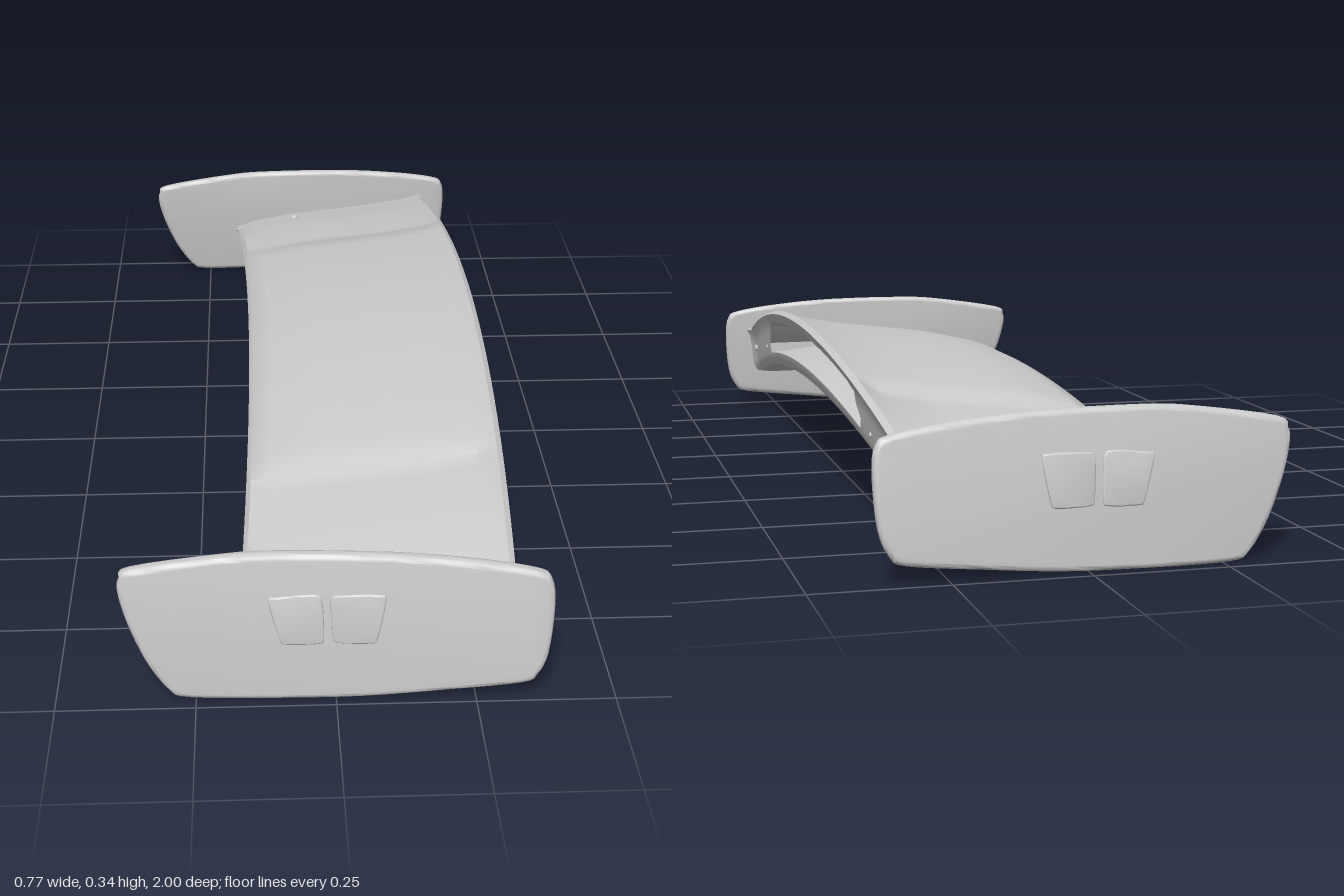
import * as THREE from 'three';
import { toCreasedNormals } from 'three/addons/utils/BufferGeometryUtils.js';

const material = new THREE.MeshStandardMaterial({ color: 0xcccccc, side: THREE.DoubleSide });

function addMesh(parent, name, geometry) {
  const mesh = new THREE.Mesh(geometry, material);
  mesh.name = name;
  parent.add(mesh);
  return mesh;
}

// Blade section (x, y) at mid-span, from the leading edge along the underside and back over the top.
const section = [
  [-0.13, 0.222], [0, 0.207], [0.15, 0.2], [0.28, 0.198], [0.315, 0.203], [0.325, 0.22],
  [0.328, 0.235], [0.12, 0.262], [0.12, 0.282], [0.338, 0.312], // slot: lip, floor, roof, lip
  [0.347, 0.333], [0.336, 0.341], [0.3, 0.327], [0.2, 0.308], [0.1, 0.296],
  [0, 0.284], [-0.1, 0.262], [-0.138, 0.244], [-0.147, 0.23],
];
const SLOT = 6; // index of the slot's lower lip
const END = 0.957;

// One blade point at span position z
function bladePoint(j, z) {
  const a = Math.abs(z), q = (a / 0.93) ** 2;
  let [x, y] = section[j], pz = z;
  // beyond the slot its inner points lie flat on the trailing face
  if (a > 0.56 && (j === SLOT + 1 || j === SLOT + 2)) {
    const t = (j - SLOT) / 3, lo = section[SLOT], hi = section[SLOT + 3];
    x = lo[0] + (hi[0] - lo[0]) * t;
    y = lo[1] + (hi[1] - lo[1]) * t;
  }
  // slanted slot ends
  if (a > 0.54 && a < 0.58 && (j === SLOT + 2 || j === SLOT + 3)) pz -= Math.sign(z) * 0.03;
  // step down beside the raised centre panel
  if (j >= 12 && j <= 16 && a > 0.56 && a < 0.8) y -= 0.012 * (0.8 - a) / 0.23;
  // flare where the blade meets the end plate
  const flare = a > 0.94 ? 1.05 : 1;
  x = 0.09 + (x - 0.09) * flare;
  y = 0.26 + (y - 0.26) * flare;
  // arch and sweep
  y -= (0.1 + 0.18 * (y - 0.2)) * q;
  x -= 0.026 * q;
  if (a === END) pz *= 1 + 0.049 * x;
  return [x, y, pz];
}

function bladeGeometry() {
  const half = [0.06, 0.12, 0.18, 0.24, 0.3, 0.36, 0.42, 0.49, 0.555, 0.575, 0.62, 0.68, 0.74, 0.8, 0.86, 0.91, 0.935, END];
  const stations = [...half.map((z) => -z).reverse(), 0, ...half];
  const n = section.length, positions = [], index = [];
  stations.forEach((z, i) => {
    for (let j = 0; j < n; j++) {
      positions.push(...bladePoint(j, z));
      if (i === 0) continue;
      const k = (j + 1) % n, p = (i - 1) * n, c = i * n;
      index.push(p + j, p + k, c + j, p + k, c + k, c + j);
    }
  });
  const g = new THREE.BufferGeometry();
  g.setAttribute('position', new THREE.Float32BufferAttribute(positions, 3));
  g.setIndex(index);
  return toCreasedNormals(g, 0.6);
}

// Extruded slab, toed and leaned to follow the end plate; side is +1 or -1
function slab(points, thickness, bevel, tension, side, offset) {
  const curve = new THREE.CatmullRomCurve3(
    points.map(([x, y]) => new THREE.Vector3(x, y, 0)), true, 'catmullrom', tension);
  const outline = curve.getPoints(points.length * 4).slice(0, -1);
  const shape = new THREE.Shape(outline.map((p) => new THREE.Vector2(p.x, p.y)));
  const g = new THREE.ExtrudeGeometry(shape, {
    depth: thickness - 2 * bevel, bevelEnabled: true, bevelThickness: bevel,
    bevelSize: bevel, bevelOffset: -bevel, bevelSegments: 3, steps: 1,
  });
  g.translate(0, 0, bevel - thickness / 2);
  const pos = g.attributes.position;
  for (let i = 0; i < pos.count; i++) {
    const lean = offset + 0.047 * pos.getX(i) - 0.107 * (pos.getY(i) - 0.14);
    pos.setZ(i, pos.getZ(i) + side * lean);
  }
  return toCreasedNormals(g, 0.7);
}

const plateOutline = [
  [-0.38, 0.235], [-0.36, 0.255], [-0.2, 0.28], [-0.1, 0.287], [0.1, 0.285], [0.25, 0.273],
  [0.35, 0.257], [0.376, 0.24], [0.383, 0.19], [0.376, 0.1], [0.358, 0.055], [0.33, 0.037],
  [0.2, 0.022], [0.05, 0.008], [-0.1, 0.003], [-0.26, 0.003], [-0.3, 0.02], [-0.34, 0.08],
  [-0.37, 0.155], [-0.383, 0.21],
];
const padOutlines = [
  [[-0.12, 0.2], [-0.105, 0.207], [-0.05, 0.213], [-0.026, 0.205], [-0.022, 0.13], [-0.03, 0.117], [-0.09, 0.115], [-0.1, 0.125]],
  [[-0.01, 0.203], [0.005, 0.212], [0.075, 0.213], [0.087, 0.203], [0.073, 0.128], [0.06, 0.118], [0.003, 0.119], [-0.007, 0.13]],
];

export function createModel() {
  const model = new THREE.Group();
  model.name = 'rearWing';
  addMesh(model, 'wingBlade', bladeGeometry());

  for (const side of [1, -1]) {
    // end plate with two shallow pads on its outer face
    const end = new THREE.Group();
    end.name = side > 0 ? 'frontEndPlate' : 'backEndPlate';
    model.add(end);
    addMesh(end, 'plate', slab(plateOutline, 0.026, 0.01, 0.5, side, 0.962));
    padOutlines.forEach((outline) => addMesh(end, 'pad', slab(outline, 0.008, 0.003, 0.4, side, 0.974)));

    // small bolt heads on the top skin and the trailing face
    for (const [x, y, z, r] of [[-0.023, 0.183, 0.87, 0.009], [0.307, 0.165, 0.9, 0.009], [0.316, 0.2, 0.65, 0.006]]) {
      addMesh(model, 'bolt', new THREE.SphereGeometry(r, 12, 8)).position.set(x, y, side * z);
    }
  }
  return model;
}
